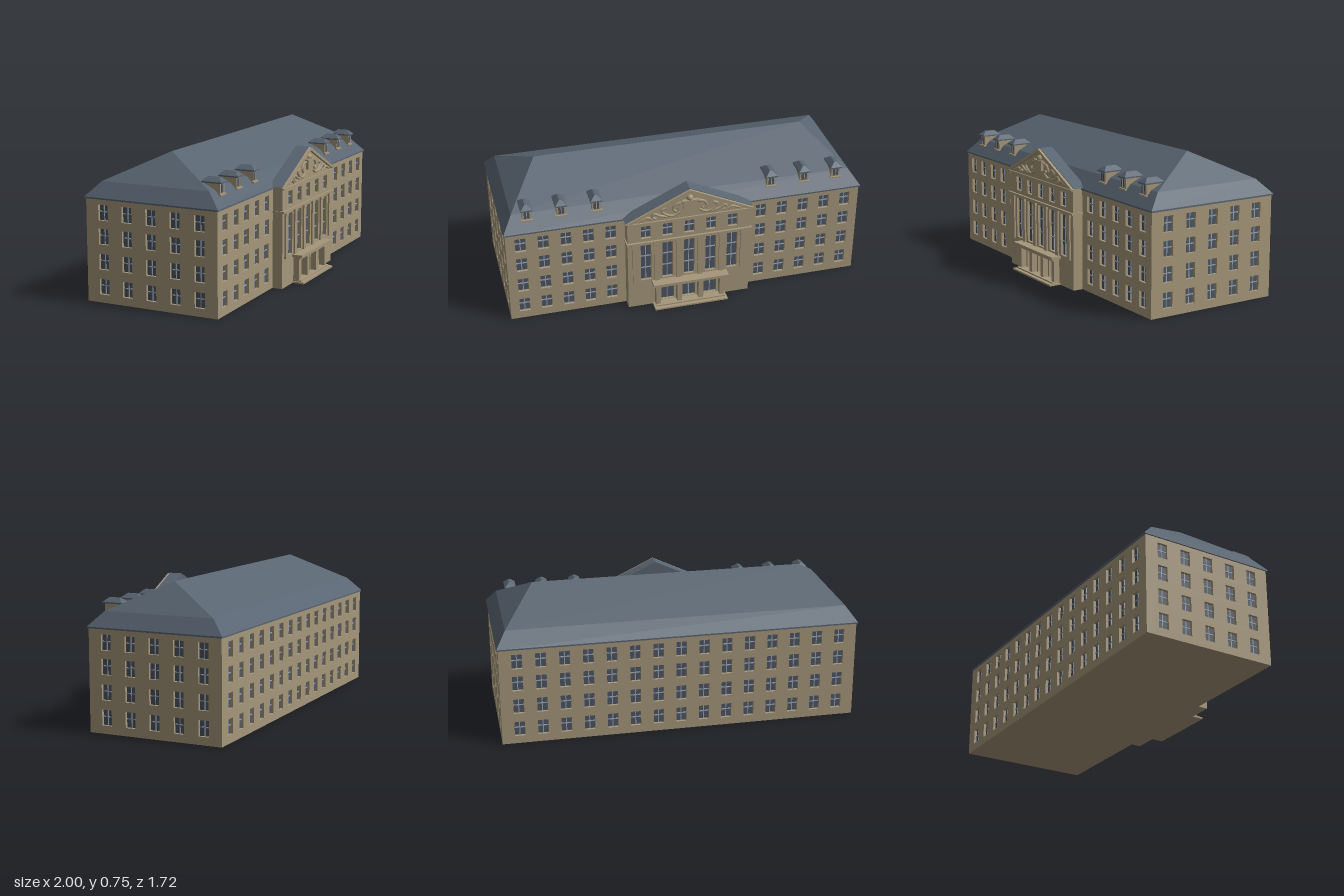
import * as THREE from 'three';
import { mergeGeometries } from 'three/addons/utils/BufferGeometryUtils.js';

const mat = (name, color) => {
  const m = new THREE.MeshStandardMaterial({ color });
  m.name = name;
  return m;
};

export function createModel() {
  const stone = mat('sandstone', 0xa6977a);
  const slate = mat('slate', 0x596572);
  const glass = mat('window glass', 0x4c5663);
  const bar = mat('glazing bar', 0x98a2ae);

  const L = 0.953, D = 0.365, H = 0.53, T = 0.016; // half length, half depth, wall height, wall thickness
  const house = new THREE.Group();
  house.name = 'house';

  const add = (parent, name, geometry, material, x = 0, y = 0, z = 0) => {
    const mesh = new THREE.Mesh(geometry, material);
    mesh.name = name;
    mesh.position.set(x, y, z);
    parent.add(mesh);
    return mesh;
  };
  const box = (parent, name, material, x0, x1, y0, y1, z0, z1) =>
    add(parent, name, new THREE.BoxGeometry(x1 - x0, y1 - y0, z1 - z0), material,
      (x0 + x1) / 2, (y0 + y1) / 2, (z0 + z1) / 2);

  // Box whose top is resized: used for hipped roofs
  const frustum = (w0, d0, y0, w1, d1, y1) => {
    const g = new THREE.BoxGeometry(1, 1, 1).toNonIndexed();
    const p = g.attributes.position;
    for (let i = 0; i < p.count; i++) {
      const top = p.getY(i) > 0;
      p.setXYZ(i, p.getX(i) * 2 * (top ? w1 : w0), top ? y1 : y0, p.getZ(i) * 2 * (top ? d1 : d0));
    }
    g.computeVertexNormals();
    return g;
  };

  // Wall facing +z with its outer face at z = 0; openings are [x, bottom, width, height, cross-bar heights]
  const wall = (name, outline, openings) => {
    const group = new THREE.Group();
    group.name = name;
    const shape = new THREE.Shape(outline.map(([x, y]) => new THREE.Vector2(x, y)));
    const panes = [], bars = [];
    for (const [x, y, w, h, crosses] of openings) {
      const hole = new THREE.Path();
      hole.moveTo(x - w / 2, y).lineTo(x - w / 2, y + h).lineTo(x + w / 2, y + h).lineTo(x + w / 2, y).closePath();
      shape.holes.push(hole);
      panes.push(new THREE.PlaneGeometry(w, h).translate(x, y + h / 2, -T + 0.001));
      bars.push(new THREE.BoxGeometry(0.005, h, 0.004).translate(x, y + h / 2, -T + 0.003));
      for (const c of crosses)
        bars.push(new THREE.BoxGeometry(w, 0.005, 0.004).translate(x, y + h * c, -T + 0.003));
    }
    add(group, 'masonry', new THREE.ExtrudeGeometry(shape, { depth: T, bevelEnabled: false }), stone, 0, 0, -T);
    add(group, 'windowPanes', mergeGeometries(panes), glass);
    add(group, 'glazingBars', mergeGeometries(bars), bar);
    house.add(group);
    return group;
  };
  const rect = (w) => [[-w, 0], [w, 0], [w, H], [-w, H]];
  const grid = (columns) => columns.flatMap((x) =>
    [0.042, 0.17, 0.298, 0.42].map((y) => [x, y, 0.055, 0.08, [0.55]]));
  const spread = (n, step) => Array.from({ length: n }, (_, i) => (i - (n - 1) / 2) * step);

  // Four main walls
  const frontColumns = [0.407, 0.524, 0.641, 0.759, 0.877].flatMap((x) => [x, -x]);
  wall('frontWall', rect(L), grid(frontColumns)).position.z = D;
  const back = wall('backWall', rect(L), grid(spread(15, 0.1228)));
  back.position.z = -D;
  back.rotation.y = Math.PI;
  for (const s of [-1, 1]) {
    const end = wall(s > 0 ? 'leftEndWall' : 'rightEndWall', rect(D - T), grid(spread(5, 0.134)));
    end.position.x = s * L;
    end.rotation.y = s * Math.PI / 2;
  }
  box(house, 'floor', stone, -L + T, L - T, 0, 0.01, -D + T, D - T);

  // Main roof: steep skirt below, flatter hips above
  add(house, 'eaves', frustum(0.96, 0.371, 0.527, 0.96, 0.371, 0.535), slate);
  add(house, 'lowerRoof', frustum(0.96, 0.371, 0.535, 0.907, 0.299, 0.61), slate);
  add(house, 'upperRoof', frustum(0.907, 0.299, 0.61, 0.732, 0, 0.755), slate);

  // Central pavilion with gable wall
  const P = 0.332, F = 0.42;
  const bays = spread(5, 0.117);
  const openings = [
    ...bays.map((x) => [x, 0.165, 0.056, 0.222, [0.33, 0.66]]),
    ...bays.map((x) => [x, 0.43, 0.052, 0.075, [0.55]]),
    ...spread(3, 0.117).map((x) => [x, 0.018, 0.07, 0.112, [0.75]]),
  ];
  wall('pavilionWall', [[-P, 0], [P, 0], [P, 0.54], [0, 0.685], [-P, 0.54]], openings).position.z = F;
  for (const s of [-1, 1])
    box(house, 'pavilionSide', stone, s * (P - T / 2) - T / 2, s * (P - T / 2) + T / 2, 0, 0.54, D, F - T);
  box(house, 'pavilionFloor', stone, -P + T, P - T, 0, 0.01, D, F - T);
  box(house, 'stringCourse', stone, -P - 0.006, P + 0.006, 0.4, 0.411, D, F + 0.012);
  box(house, 'pedimentCornice', stone, -P, P, 0.523, 0.53, F, F + 0.008);

  // Pavilion roof
  const gable = new THREE.Shape([[-0.342, 0.538], [0.342, 0.538], [0, 0.7]].map(([x, y]) => new THREE.Vector2(x, y)));
  add(house, 'pavilionRoof', new THREE.ExtrudeGeometry(gable, { depth: F - T - 0.346, bevelEnabled: false }), slate, 0, 0, 0.346);
  const edge = new THREE.Shape([[-0.342, 0.538], [-0.31, 0.538], [0, 0.684], [0.31, 0.538], [0.342, 0.538], [0, 0.7]]
    .map(([x, y]) => new THREE.Vector2(x, y)));
  add(house, 'roofVerge', new THREE.ExtrudeGeometry(edge, { depth: 0.016, bevelEnabled: false }), slate, 0, 0, F - T);
  add(house, 'rakingCornice', new THREE.ExtrudeGeometry(edge, { depth: 0.014, bevelEnabled: false }), stone, 0, -0.003, F);

  // Pilasters between the tall windows
  for (const x of spread(6, 0.117)) {
    box(house, 'pilaster', stone, x - 0.014, x + 0.014, 0.155, 0.39, F, F + 0.009);
    box(house, 'pilasterCapital', stone, x - 0.018, x + 0.018, 0.383, 0.4, F, F + 0.012);
  }

  // Entrance porch
  box(house, 'porchStep', stone, -0.2, 0.2, 0, 0.009, F, 0.485);
  box(house, 'porchUpperStep', stone, -0.19, 0.19, 0.009, 0.016, F, 0.465);
  box(house, 'porchLintel', stone, -0.19, 0.19, 0.13, 0.143, F, 0.462);
  box(house, 'porchCanopy', stone, -0.205, 0.205, 0.143, 0.156, F, 0.475);
  for (const x of spread(4, 0.117)) box(house, 'porchPier', stone, x - 0.013, x + 0.013, 0.016, 0.13, F, 0.452);

  // Pediment relief: framed cartouche with mirrored scrolls
  box(house, 'cartouche', stone, -0.034, 0.034, 0.582, 0.628, F, F + 0.014);
  box(house, 'cartoucheCap', stone, -0.045, 0.045, 0.628, 0.637, F, F + 0.018);
  add(house, 'cartoucheCrown', new THREE.SphereGeometry(0.018, 12, 8), stone, 0, 0.645, F);
  const scrolls = [
    [[0.04, 0.625], [0.075, 0.615], [0.09, 0.59], [0.07, 0.575], [0.06, 0.59]],
    [[0.05, 0.57], [0.09, 0.55], [0.13, 0.565], [0.15, 0.59], [0.125, 0.602]],
    [[0.12, 0.548], [0.16, 0.56], [0.19, 0.575], [0.2, 0.555], [0.18, 0.545]],
    [[0.2, 0.542], [0.225, 0.558], [0.255, 0.55], [0.275, 0.542]],
  ];
  for (const s of [-1, 1]) for (const pts of scrolls) {
    const curve = new THREE.CatmullRomCurve3(pts.map(([x, y]) => new THREE.Vector3(s * x, y, 0)));
    add(house, 'reliefScroll', new THREE.TubeGeometry(curve, 20, 0.007, 6), stone, 0, 0, F + 0.003);
  }

  // Dormers
  for (const x of [0.47, 0.653, 0.83].flatMap((v) => [v, -v])) {
    const dormer = new THREE.Group();
    dormer.name = 'dormer';
    dormer.position.x = x;
    house.add(dormer);
    box(dormer, 'dormerBody', stone, -0.024, 0.024, 0.57, 0.643, 0.23, 0.328);
    box(dormer, 'dormerSill', stone, -0.029, 0.029, 0.581, 0.588, 0.3, 0.336);
    box(dormer, 'dormerWindow', glass, -0.014, 0.014, 0.595, 0.634, 0.328, 0.331);
    box(dormer, 'dormerBar', bar, -0.002, 0.002, 0.595, 0.634, 0.331, 0.333);
    add(dormer, 'dormerEaves', frustum(0.031, 0.055, 0.64, 0.031, 0.055, 0.647), slate, 0, 0, 0.284);
    add(dormer, 'dormerRoof', frustum(0.031, 0.055, 0.647, 0.006, 0.03, 0.669), slate, 0, 0, 0.284);
  }

  // The house stands diagonally
  house.rotation.y = 0.617;
  const model = new THREE.Group();
  model.name = 'building';
  model.add(house);
  return model;
}
